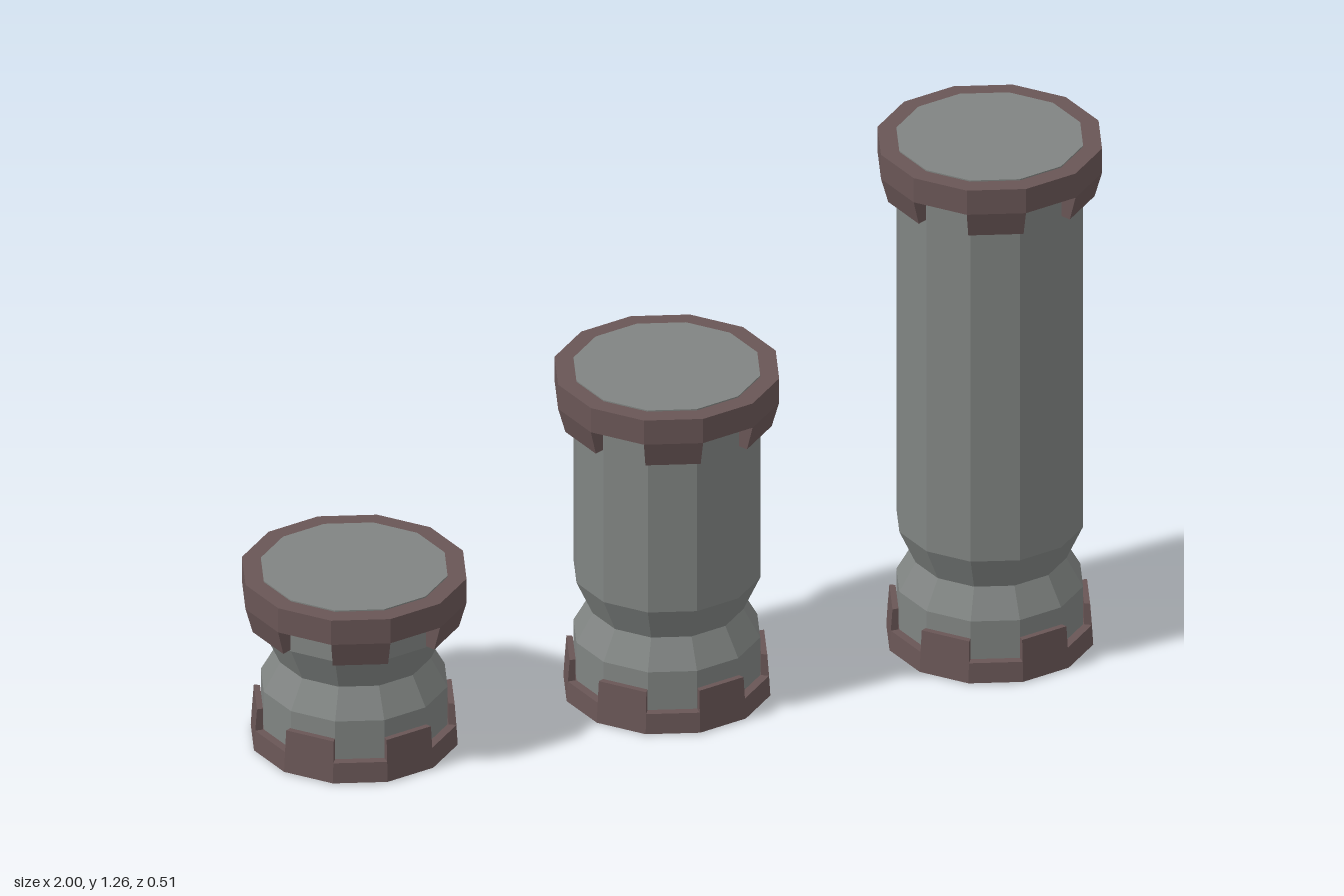
import * as THREE from 'three';
import { mergeGeometries } from 'three/addons/utils/BufferGeometryUtils.js';

const SIDES = 12;
const STEP = (Math.PI * 2) / SIDES;
const BODY_R = 0.212;

const stone = new THREE.MeshStandardMaterial({ color: 0x808482, flatShading: true, side: THREE.DoubleSide });
const trim = new THREE.MeshStandardMaterial({ color: 0x695656, flatShading: true });

function lathe(points) {
  return new THREE.LatheGeometry(points.map(([r, y]) => new THREE.Vector2(r, y)), SIDES);
}

// One tooth filling a single facet: box corners are wrapped around the column
function tooth(index, yLow, yHigh, rLow, rHigh) {
  const g = new THREE.BoxGeometry(1, 1, 1);
  const p = g.attributes.position;
  for (let i = 0; i < p.count; i++) {
    const a = (index + p.getX(i) + 0.5) * STEP;
    const top = p.getY(i) > 0;
    const r = p.getZ(i) > 0 ? (top ? rHigh : rLow) : BODY_R + 0.002;
    p.setXYZ(i, r * Math.sin(a), top ? yHigh : yLow, r * Math.cos(a));
  }
  g.computeVertexNormals();
  return g;
}

// Band with teeth on every second facet
function crown(name, band, first, toothArgs) {
  const parts = [lathe(band)];
  for (let i = first; i < SIDES; i += 2) parts.push(tooth(i, ...toothArgs));
  const mesh = new THREE.Mesh(mergeGeometries(parts), trim);
  mesh.name = name;
  return mesh;
}

function column(name, x, height) {
  const group = new THREE.Group();
  group.name = name;
  group.position.x = x;

  // Hollow shaft with a pinched neck, closed at the top and open below
  const shaft = new THREE.Mesh(lathe([
    [BODY_R, 0], [BODY_R, 0.147], [0.174, 0.215], [BODY_R, 0.298], [BODY_R, height], [0, height],
  ]), stone);
  shaft.name = 'shaft';

  // Top rim with teeth pointing down
  const y1 = height - 0.003, y0 = height - 0.064;
  const topRim = crown('topRim',
    [[BODY_R, y0], [0.255, y0], [0.255, y1], [BODY_R, y1]], 1,
    [height - 0.125, y0, 0.238, 0.255]);

  // Base rim with teeth pointing up, shifted by one facet
  const baseRim = crown('baseRim',
    [[BODY_R, 0.003], [0.235, 0.003], [0.232, 0.052], [BODY_R, 0.052]], 0,
    [0.052, 0.105, 0.232, 0.228]);

  group.add(shaft, topRim, baseRim);
  return group;
}

export function createModel() {
  const model = new THREE.Group();
  model.name = 'columns';
  model.add(
    column('shortColumn', -0.745, 0.427),
    column('middleColumn', -0.012, 0.808),
    column('tallColumn', 0.745, 1.26),
  );
  return model;
}
